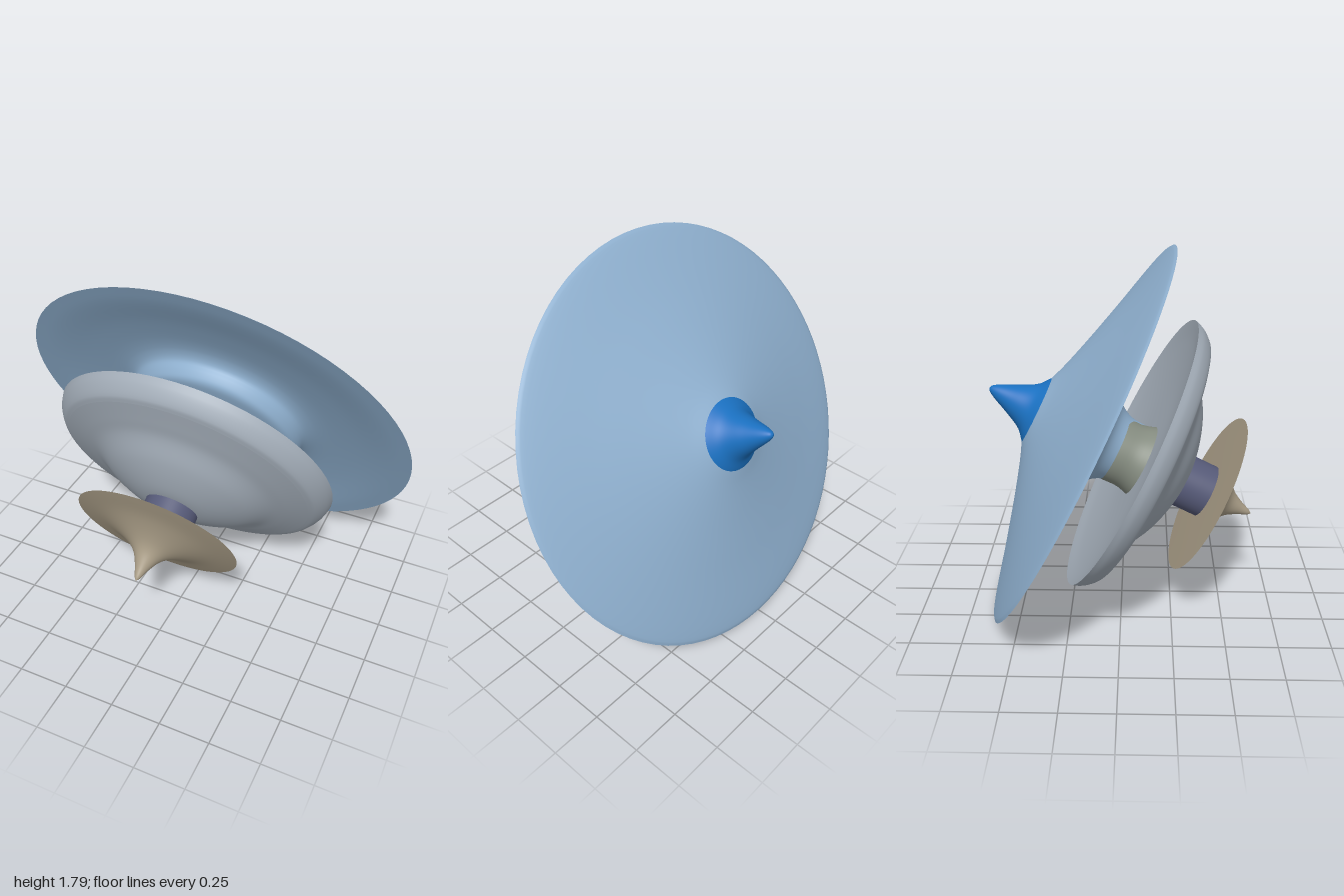
import * as THREE from 'three';

// Smooth turned surface from [radius, height] points, listed from low to high on the outside.
function turned(name, points, color, steps = 32) {
  const curve = new THREE.CatmullRomCurve3(
    points.map(([r, h]) => new THREE.Vector3(r, h, 0)), false, 'centripetal');
  const profile = curve.getPoints(steps).map(p => new THREE.Vector2(Math.max(p.x, 0), p.y));
  const material = new THREE.MeshStandardMaterial({ color, side: THREE.DoubleSide });
  const mesh = new THREE.Mesh(new THREE.LatheGeometry(profile, 80), material);
  mesh.name = name;
  return mesh;
}

// Named group, shifted slightly off the main axis.
function part(name, x, z, ...meshes) {
  const group = new THREE.Group();
  group.name = name;
  group.position.set(x, 0, z);
  group.add(...meshes);
  return group;
}

export function createModel() {
  const SKY = 0x8fb0cf, BLUE = 0x1a70c0, CLOUD = 0xa3adb8, SAND = 0xa89c86;

  // Large disc: dished underside with a bulging collar, swept top and pointed spire
  const largeDisc = part('largeDisc', 0, 0,
    turned('largeDiscUnderside', [
      [0.16, -0.27], [0.165, -0.2], [0.2, -0.13], [0.26, -0.09], [0.36, -0.08],
      [0.42, -0.065], [0.445, -0.03], [0.46, 0.01], [0.52, 0.035], [0.7, 0.03], [0.9, 0.005], [1, 0],
    ], SKY, 48),
    turned('largeDiscTop', [
      [1, 0], [0.98, 0.012], [0.65, 0.1], [0.42, 0.163], [0.25, 0.215], [0.17, 0.245],
    ], SKY),
    turned('spire', [
      [0.17, 0.245], [0.12, 0.288], [0.075, 0.37], [0.03, 0.465], [0.012, 0.49], [0, 0.495],
    ], BLUE));

  // Middle disc: bowl with a chamfered rim and shallow hollow on its upper side
  const middleDisc = part('middleDisc', -0.015, 0.02,
    turned('middleDiscBowl', [
      [0, -0.55], [0.13, -0.545], [0.23, -0.52], [0.34, -0.475], [0.45, -0.41],
      [0.53, -0.385], [0.625, -0.358],
    ], CLOUD),
    turned('middleDiscRim', [
      [0.625, -0.358], [0.655, -0.345], [0.695, -0.295], [0.71, -0.252],
    ], CLOUD, 12),
    turned('middleDiscHollow', [
      [0.71, -0.252], [0.6, -0.28], [0.35, -0.315], [0, -0.325],
    ], CLOUD, 20));

  // Small disc: flat back and a flared point
  const smallDisc = part('smallDisc', -0.037, 0,
    turned('point', [
      [0, -0.94], [0.012, -0.925], [0.035, -0.87], [0.07, -0.81], [0.12, -0.77],
      [0.25, -0.717], [0.408, -0.689],
    ], SAND),
    turned('smallDiscBack', [[0.408, -0.689], [0.2, -0.686], [0, -0.686]], SAND, 4));

  // Necks joining the discs
  const necks = part('necks', -0.02, 0,
    turned('upperNeck', [[0.19, -0.35], [0.165, -0.27], [0.165, -0.18]], 0x858c80, 8),
    turned('lowerNeck', [[0.133, -0.69], [0.133, -0.5]], 0x565a78, 2));

  // Whole stack leans back
  const stack = part('spinningTop', 0, 0, largeDisc, middleDisc, smallDisc, necks);
  stack.position.set(0, 0.895, -0.195);
  stack.rotation.x = -1.107;

  const model = new THREE.Group();
  model.name = 'model';
  model.add(stack);
  return model;
}
